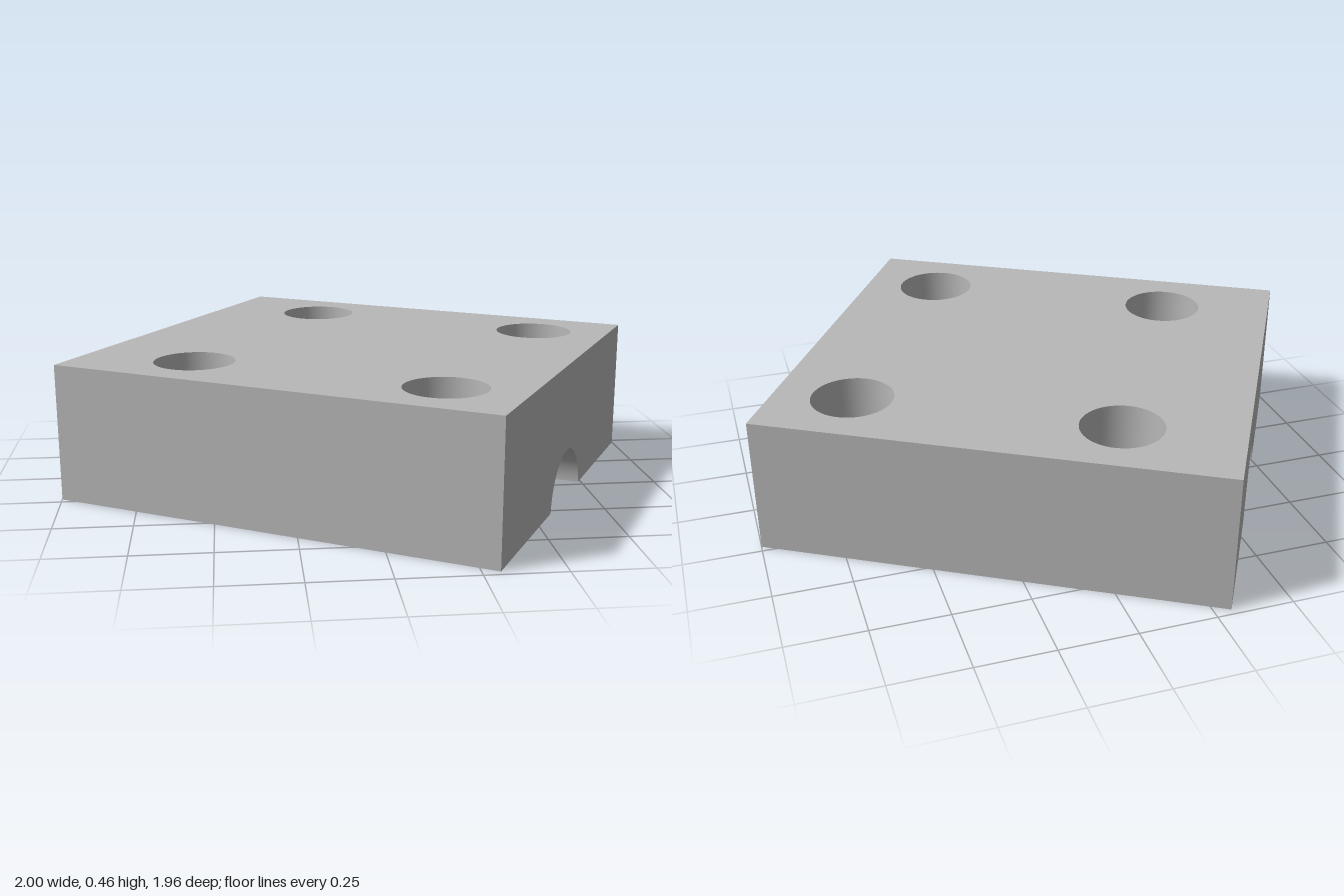
import * as THREE from 'three';

// Block in its own axes: x along the groove, z across it
const L = 1.506, W = 1.39, H = 0.455;
const HX = L / 2, HZ = W / 2;
const HOLE_R = 0.133, HOLE_X = [-0.371, 0.495], HOLE_Z = 0.4625;
const AXIS_Y = -0.0125;            // groove axis lies just below the base
const NARROW = 0.1755, WIDE = 0.2005, STEP_X = 0.29;
const SEG = 48;

const startAngle = (r) => Math.asin(-AXIS_Y / r);
const halfWidth = (r) => r * Math.cos(startAngle(r));

function circle(x, y) {
  return new THREE.Path().absarc(x, y, HOLE_R, 0, Math.PI * 2, false);
}

function polygon(points) {
  return new THREE.Shape(points.map(([x, y]) => new THREE.Vector2(x, y)));
}

export function createModel() {
  const model = new THREE.Group();
  model.name = 'clampBlock';
  const block = new THREE.Group();
  block.name = 'block';
  block.rotation.y = -Math.PI / 6;
  model.add(block);

  const grey = new THREE.MeshStandardMaterial({ color: 0xb8b8b8, side: THREE.DoubleSide });
  grey.name = 'grey';

  const add = (name, geometry) => {
    const mesh = new THREE.Mesh(geometry, grey);
    mesh.name = name;
    block.add(mesh);
  };
  const flat = (shape) => new THREE.ShapeGeometry(shape, SEG / 2);

  // Top face with four holes
  const top = polygon([[-HX, -HZ], [HX, -HZ], [HX, HZ], [-HX, HZ]]);
  for (const x of HOLE_X) for (const s of [-1, 1]) top.holes.push(circle(x, s * HOLE_Z));
  add('topFace', flat(top).rotateX(-Math.PI / 2).translate(0, H, 0));

  // Base strips, long side walls and hole walls on each side of the groove
  for (const s of [-1, 1]) {
    const side = s > 0 ? 'left' : 'right';
    const a = s * halfWidth(WIDE), b = s * halfWidth(NARROW);
    const base = polygon([[-HX, a], [STEP_X, a], [STEP_X, b], [HX, b], [HX, s * HZ], [-HX, s * HZ]]);
    for (const x of HOLE_X) {
      base.holes.push(circle(x, s * HOLE_Z));
      add(side + 'HoleWall',
        new THREE.CylinderGeometry(HOLE_R, HOLE_R, H, SEG, 1, true).translate(x, H / 2, s * HOLE_Z));
    }
    add(side + 'Base', flat(base).rotateX(Math.PI / 2));
    add(side + 'Wall',
      new THREE.PlaneGeometry(L, H).rotateY(s > 0 ? 0 : Math.PI).translate(0, H / 2, s * HZ));
  }

  // End faces with the groove cut out of the lower edge
  for (const [s, r] of [[1, NARROW], [-1, WIDE]]) {
    const a = startAngle(r);
    const end = new THREE.Shape();
    end.moveTo(-HZ, 0);
    end.lineTo(-halfWidth(r), 0);
    end.absarc(0, AXIS_Y, r, Math.PI - a, a, true);
    end.lineTo(HZ, 0);
    end.lineTo(HZ, H);
    end.lineTo(-HZ, H);
    add(s > 0 ? 'narrowEnd' : 'wideEnd', flat(end).rotateY(s * Math.PI / 2).translate(s * HX, 0, 0));
  }

  // Groove in two diameters
  for (const [name, r, x0, x1] of [['wideGroove', WIDE, -HX, STEP_X], ['narrowGroove', NARROW, STEP_X, HX]]) {
    const a = startAngle(r);
    add(name, new THREE.CylinderGeometry(r, r, x1 - x0, SEG, 1, true, a, Math.PI - 2 * a)
      .rotateZ(Math.PI / 2).translate((x0 + x1) / 2, AXIS_Y, 0));
  }

  // Shoulder between the two diameters
  const aw = startAngle(WIDE), an = startAngle(NARROW);
  const shoulder = new THREE.Shape();
  shoulder.absarc(0, AXIS_Y, WIDE, aw, Math.PI - aw, false);
  shoulder.absarc(0, AXIS_Y, NARROW, Math.PI - an, an, true);
  add('grooveShoulder', flat(shoulder).rotateY(-Math.PI / 2).translate(STEP_X, 0, 0));

  return model;
}
